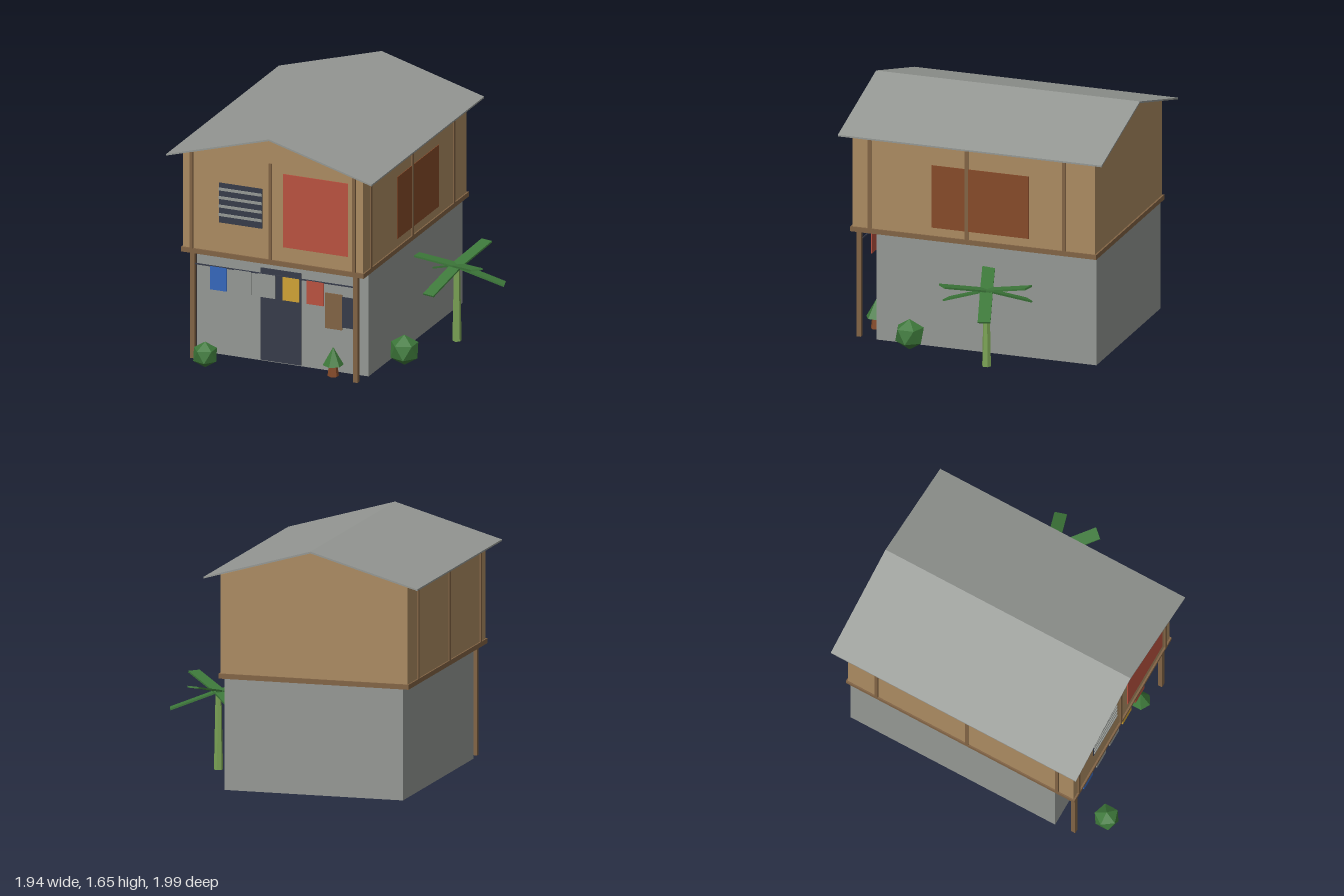
import * as THREE from 'three';

const mat = (name, color, opts = {}) => {
  const m = new THREE.MeshStandardMaterial({ color, flatShading: true, ...opts });
  m.name = name;
  return m;
};

export function createModel() {
  const M = {
    grey: mat('concrete grey', 0x949793),
    wall: mat('plywood tan', 0xaa8a61),
    wood: mat('timber brown', 0x816344),
    red: mat('faded red', 0xb8513f),
    dark: mat('dark slate', 0x363b49),
    rust: mat('rust brown', 0x854a29),
    blue: mat('cloth blue', 0x3566ba),
    yellow: mat('cloth yellow', 0xcfa235),
    leaf: mat('leaf green', 0x3d783a),
    stem: mat('palm stem green', 0x7ba355),
  };
  const house = new THREE.Group();
  house.name = 'stiltHouse';

  const add = (name, geo, material, x = 0, y = 0, z = 0, parent = house) => {
    const m = new THREE.Mesh(geo, material);
    m.name = name;
    m.position.set(x, y, z);
    parent.add(m);
    return m;
  };
  // Box given by its extents on each axis
  const box = (name, material, [x0, x1], [y0, y1], [z0, z1]) =>
    add(name, new THREE.BoxGeometry(x1 - x0, y1 - y0, z1 - z0), material,
      (x0 + x1) / 2, (y0 + y1) / 2, (z0 + z1) / 2);
  // Outline extruded along z
  const prism = (name, material, pts, z0, z1) => {
    const shape = new THREE.Shape(pts.map(([x, y]) => new THREE.Vector2(x, y)));
    return add(name, new THREE.ExtrudeGeometry(shape, { depth: z1 - z0, bevelEnabled: false }), material, 0, 0, z0);
  };

  // Ground floor, deck and upper storey
  box('groundFloor', M.grey, [-0.85, 0.388], [0, 0.75], [-0.92, 0.63]);
  box('deck', M.wood, [-0.893, 0.427], [0.75, 0.783], [-0.932, 0.8]);
  const cx = -0.233;
  prism('upperStorey', M.wall, [
    [-0.883, 0.783], [0.417, 0.783], [0.417, 1.447], [cx, 1.637], [-0.883, 1.447],
  ], -0.92, 0.788);

  // Thin gabled roof
  prism('roof', M.grey, [
    [-0.975, 1.432], [cx, 1.643], [0.508, 1.432],
    [0.508, 1.443], [cx, 1.655], [-0.975, 1.443],
  ], -1, 0.857);

  // Timber battens on the front and both sides
  for (const x of [-0.82, -0.25, 0.355])
    box('frontBatten', M.wood, [x - 0.011, x + 0.011], [0.783, 1.46], [0.78, 0.8]);
  for (const z of [0.665, -0.018, -0.703])
    for (const x of [-0.883, 0.417])
      box('sideBatten', M.wood, [x - 0.01, x + 0.01], [0.783, 1.447], [z - 0.012, z + 0.012]);

  // Front stilts
  for (const x of [-0.822, 0.355])
    box('stilt', M.wood, [x - 0.016, x + 0.016], [0, 0.75], [0.744, 0.776]);

  // Upper windows and panels
  box('redPanel', M.red, [-0.158, 0.31], [0.885, 1.4], [0.786, 0.794]);
  box('sidePanel', M.rust, [0.414, 0.422], [0.84, 1.275], [-0.455, 0.23]);
  box('upperWindow', M.dark, [-0.62, -0.31], [0.992, 1.272], [0.786, 0.793]);
  for (const y of [1.05, 1.11, 1.17, 1.23])
    box('louvre', M.grey, [-0.62, -0.31], [y - 0.009, y + 0.009], [0.795, 0.803]);

  // Doorway, lower window and its shutter
  box('door', M.dark, [-0.39, -0.098], [0.006, 0.655], [0.628, 0.636]);
  box('lowerWindow', M.dark, [0.09, 0.31], [0.318, 0.533], [0.628, 0.636]);
  box('shutter', M.wood, [0.077, 0.2], [0.3, 0.548], [0.633, 0.642]);

  // Washing line
  box('washingLine', M.dark, [-0.806, 0.339], [0.66, 0.668], [0.756, 0.764]);
  [M.blue, M.grey, M.grey, M.yellow, M.red].forEach((m, i) => {
    const x = -0.638 + i * 0.1745;
    box('cloth', m, [x - 0.06, x + 0.06], [0.5, 0.664], [0.757, 0.766]);
  });

  // Palm: tapered stem and six fronds, alternately raised and drooping
  const palm = new THREE.Group();
  palm.name = 'palm';
  palm.position.set(0.645, 0, -0.24);
  house.add(palm);
  add('palmStem', new THREE.CylinderGeometry(0.02, 0.031, 0.53, 6), M.stem, 0, 0.265, 0, palm);
  for (let i = 0; i < 6; i++) {
    const geo = new THREE.BoxGeometry(0.34, 0.012, 0.085);
    geo.translate(0.17, 0, 0);
    const frond = add('frond', geo, M.leaf, 0, 0.53, 0, palm);
    frond.rotation.order = 'YXZ';
    frond.rotation.y = THREE.MathUtils.degToRad(77 - i * 60);
    frond.rotation.z = i % 2 ? -0.36 : 0.23;
  }

  // Sapling
  add('saplingTrunk', new THREE.CylinderGeometry(0.026, 0.038, 0.1, 6), M.rust, 0.167, 0.05, 0.71);
  add('saplingCrown', new THREE.ConeGeometry(0.07, 0.125, 6), M.leaf, 0.167, 0.14, 0.71);

  // Bushes with a corner pointing up
  const bush = (r, x, y, z) => {
    const geo = new THREE.IcosahedronGeometry(r, 0);
    geo.rotateZ(Math.atan(2 / (1 + Math.sqrt(5))));
    add('bush', geo, M.leaf, x, y, z);
  };
  bush(0.09, -0.667, 0.097, 0.918);
  bush(0.106, 0.522, 0.113, 0.347);

  return house;
}
